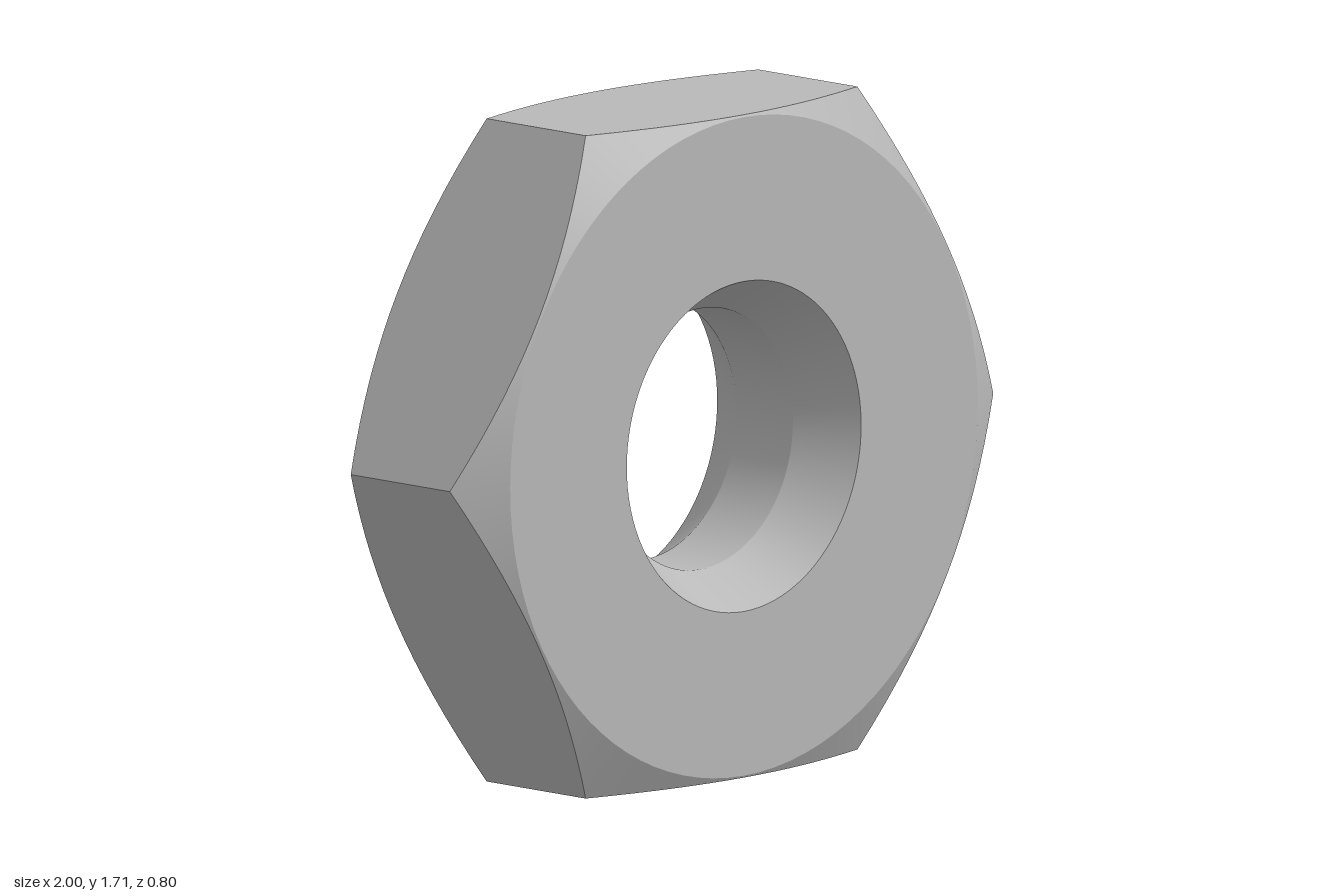
import * as THREE from 'three';
import { toCreasedNormals } from 'three/addons/utils/BufferGeometryUtils.js';

const APOTHEM = 0.8535;    // centre to flat
const HALF = 0.255;        // half thickness
const FACE_R = 0.848;      // radius of the flat round face
const HOLE_R = 0.336;      // bore radius
const SINK_R = 0.425;      // countersink radius at the face
const BORE_HALF = 0.1;     // half length of the straight bore
const TILT = THREE.MathUtils.degToRad(10.1);

// distance from the axis to the hexagon outline at a given angle
function hexRadius(angle) {
  const step = Math.PI / 3;
  const a = ((angle % step) + step) % step;
  return APOTHEM / Math.cos(a - step / 2);
}

function nutGeometry() {
  // closed cross-section; the two outermost points are pushed out to the hexagon
  const profile = [
    [1, -HALF], [1, HALF],
    [FACE_R, HALF], [SINK_R, HALF],
    [HOLE_R, BORE_HALF], [HOLE_R, -BORE_HALF],
    [SINK_R, -HALF], [FACE_R, -HALF],
    [1, -HALF],
  ].map(([r, y]) => new THREE.Vector2(r, y));
  const geo = new THREE.LatheGeometry(profile, 96);
  geo.rotateX(Math.PI / 2);

  const p = geo.attributes.position;
  for (let i = 0; i < p.count; i++) {
    const x = p.getX(i), y = p.getY(i), z = p.getZ(i);
    if (Math.hypot(x, y) < 0.95) continue;
    const angle = Math.atan2(y, x);
    const r = hexRadius(angle);
    // 30 degree conical chamfer meeting the flats in curved arcs
    const h = HALF - (r - FACE_R) * Math.tan(Math.PI / 6);
    p.setXYZ(i, r * Math.cos(angle), r * Math.sin(angle), Math.sign(z) * h);
  }
  geo.deleteAttribute('uv');
  return toCreasedNormals(geo, 0.4);
}

export function createModel() {
  const group = new THREE.Group();
  group.name = 'hexNut';
  const steel = new THREE.MeshStandardMaterial({ color: 0xb8b8b8 });
  steel.name = 'steel grey';

  const nut = new THREE.Mesh(nutGeometry(), steel);
  nut.name = 'nutBody';
  nut.rotation.y = TILT;
  nut.position.y = APOTHEM;
  group.add(nut);
  return group;
}
